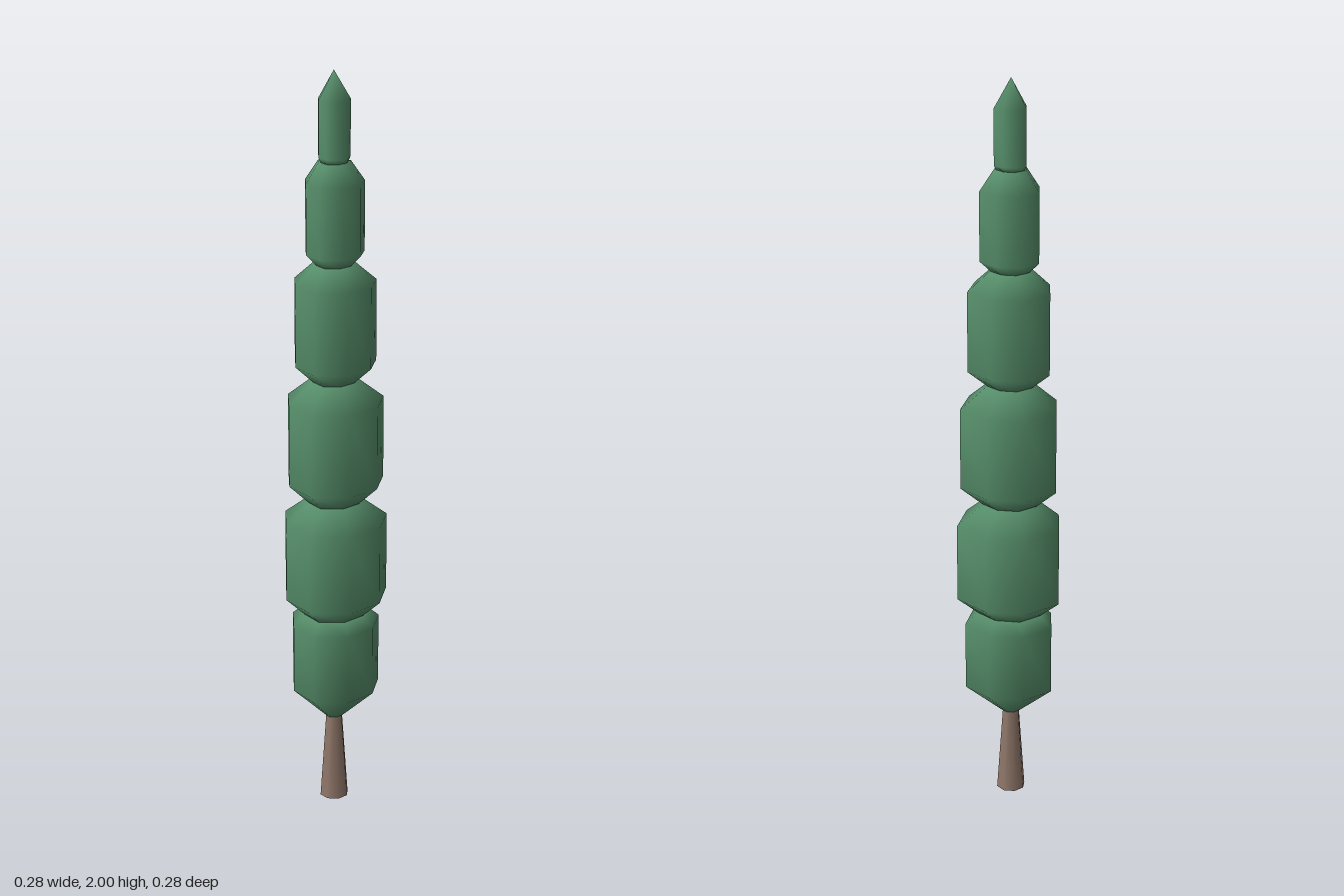
import * as THREE from 'three';
import { mergeVertices } from 'three/addons/utils/BufferGeometryUtils.js';

const SIDES = 8;
const AXIS_X = -0.008;
// Slightly uneven radius for each corner, starting at +x and turning towards -z
const UNEVEN = [1.06, 0.97, 1.0, 1.04, 0.95, 1.03, 0.99, 0.97];

// Smooth eight-sided turned solid with uneven corners; profile is [radius, y] from the bottom up
function foliageGeometry(profile) {
  const points = profile.map(([r, y]) => new THREE.Vector2(r, y));
  let geometry = new THREE.LatheGeometry(points, SIDES);
  const pos = geometry.attributes.position;
  for (let i = 0; i < pos.count; i++) {
    const x = pos.getX(i), z = pos.getZ(i);
    const corner = Math.round(Math.atan2(-z, x) / (Math.PI * 2 / SIDES));
    const k = UNEVEN[(corner + SIDES) % SIDES];
    pos.setX(i, x * k);
    pos.setZ(i, z * k);
  }
  // Weld the seam so the shading runs all the way round
  geometry.deleteAttribute('normal');
  geometry.deleteAttribute('uv');
  geometry = mergeVertices(geometry, 1e-5);
  geometry.computeVertexNormals();
  return geometry;
}

export function createModel() {
  const tree = new THREE.Group();
  tree.name = 'tree';

  const green = new THREE.MeshStandardMaterial({ color: 0x568e6a });
  green.name = 'foliage green';
  const brown = new THREE.MeshStandardMaterial({ color: 0x8f7769 });
  brown.name = 'bark brown';

  // Tapered trunk
  const trunk = new THREE.Mesh(new THREE.CylinderGeometry(0.021, 0.039, 0.26, SIDES), brown);
  trunk.name = 'trunk';
  trunk.position.set(AXIS_X, 0.13, 0);
  tree.add(trunk);

  // Stacked foliage tiers, from the lowest to the pointed crown
  const tiers = [
    [[0, 0.24], [0.025, 0.24], [0.119, 0.325], [0.119, 0.515], [0.085, 0.546], [0, 0.546]],
    [[0, 0.546], [0.088, 0.546], [0.139, 0.592], [0.139, 0.805], [0.068, 0.863], [0, 0.863]],
    [[0, 0.863], [0.075, 0.863], [0.129, 0.913], [0.129, 1.135], [0.06, 1.193], [0, 1.193]],
    [[0, 1.193], [0.06, 1.193], [0.109, 1.237], [0.109, 1.453], [0.055, 1.503], [0, 1.503]],
    [[0, 1.503], [0.05, 1.503], [0.078, 1.532], [0.078, 1.715], [0.043, 1.768], [0, 1.768]],
    [[0, 1.768], [0.037, 1.768], [0.042, 1.78], [0.042, 1.925], [0, 2.0]],
  ];
  tiers.forEach((profile, i) => {
    const tier = new THREE.Mesh(foliageGeometry(profile), green);
    tier.name = i === tiers.length - 1 ? 'foliageCrown' : `foliageTier${i + 1}`;
    tier.position.x = AXIS_X;
    tree.add(tier);
  });

  return tree;
}
